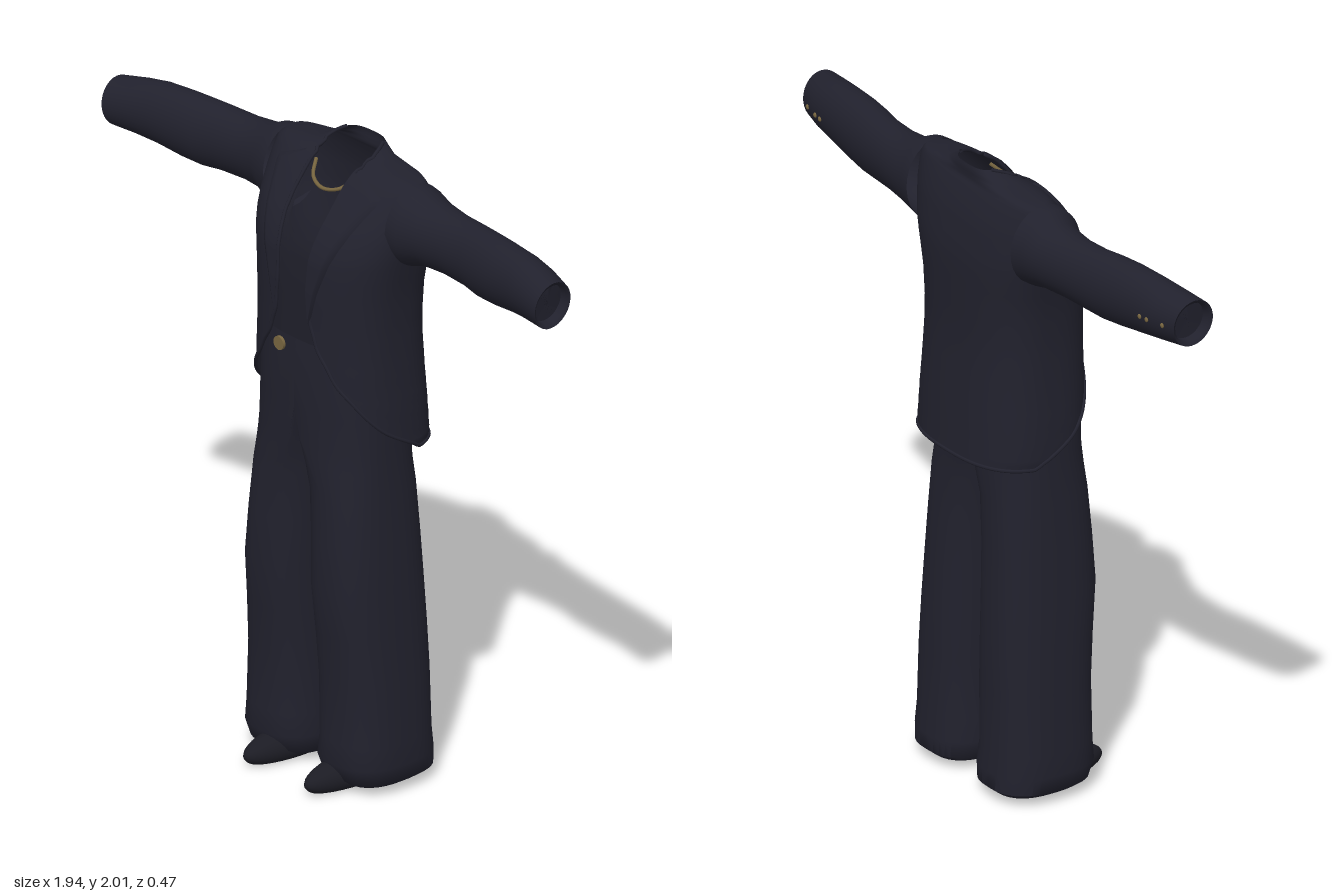
import * as THREE from 'three';
import { toCreasedNormals } from 'three/addons/utils/BufferGeometryUtils.js';

const P = 0.75; // squareness of the body cross-sections
const lerp = THREE.MathUtils.lerp;
const pw = (v) => Math.sign(v) * Math.pow(Math.abs(v), P);
const V = (x, y, z) => new THREE.Vector3(x, y, z);

// Interpolates a row table by its first column
function sample(rows, k) {
  let i = 0;
  while (i < rows.length - 2 && k > rows[i + 1][0]) i++;
  const a = rows[i], b = rows[i + 1];
  const t = THREE.MathUtils.clamp((k - a[0]) / (b[0] - a[0]), 0, 1);
  return a.map((v, j) => lerp(v, b[j], t));
}

// Surface through rows of points; closed rows wrap around
function loft(rows, closed = false, crease = 0) {
  const n = rows[0].length, idx = [];
  for (let r = 0; r < rows.length - 1; r++)
    for (let c = 0; c < (closed ? n : n - 1); c++) {
      const d = (c + 1) % n, a = r * n + c, b = r * n + d;
      idx.push(a, a + n, b, b, a + n, b + n);
    }
  const g = new THREE.BufferGeometry().setFromPoints(rows.flat());
  g.setIndex(idx);
  g.computeVertexNormals();
  return crease ? toCreasedNormals(g, crease) : g;
}

// Jacket: y, half width, front z, back z, middle z, opening angle in degrees
const JACKET = [
  [1.09, 0.275, 0.165, -0.23, -0.03, 103],
  [1.12, 0.28, 0.165, -0.228, -0.03, 92],
  [1.22, 0.275, 0.165, -0.222, -0.03, 60],
  [1.32, 0.268, 0.166, -0.215, -0.03, 33],
  [1.42, 0.264, 0.165, -0.208, -0.03, 17],
  [1.5, 0.264, 0.164, -0.206, -0.03, 11],
  [1.6, 0.27, 0.164, -0.208, -0.035, 9],
  [1.7, 0.288, 0.157, -0.21, -0.05, 9],
  [1.75, 0.298, 0.142, -0.207, -0.06, 9.5],
  [1.8, 0.303, 0.118, -0.2, -0.065, 10.5],
  [1.85, 0.306, 0.083, -0.192, -0.07, 11],
  [1.9, 0.306, 0.043, -0.177, -0.075, 11],
  [1.935, 0.3, 0.01, -0.163, -0.08, 11.5],
  [1.95, 0.28, -0.015, -0.155, -0.085, 13],
  [1.965, 0.15, -0.035, -0.155, -0.09, 31],
  [1.985, 0.105, -0.06, -0.157, -0.1, 65],
  [2.0, 0.08, -0.085, -0.155, -0.11, 100],
];
function jacketPoint(y, u) {
  const [, w, zf, zb, cz, open] = sample(JACKET, y);
  const o = THREE.MathUtils.degToRad(open), a = lerp(o, 2 * Math.PI - o, u);
  const c = Math.cos(a);
  return V(w * pw(Math.sin(a)), y, cz + (c > 0 ? zf - cz : cz - zb) * pw(c));
}
function jacketFront(x, y) {
  const [, w, zf, , cz] = sample(JACKET, y);
  const s = Math.pow(Math.min(1, Math.abs(x) / w), 1 / P);
  return cz + (zf - cz) * pw(Math.sqrt(1 - s * s));
}

// Trouser side: y, inner x, outer x, front z, back z, blend from leg to hip
const LEG = [
  [0.045, 0.08, 0.23, 0.07, -0.12, 0],
  [0.02, 0.05, 0.27, 0.105, -0.165, 0],
  [0.04, 0.025, 0.298, 0.13, -0.19, 0],
  [0.09, 0.018, 0.303, 0.148, -0.19, 0],
  [0.16, 0.025, 0.3, 0.142, -0.182, 0],
  [0.35, 0.024, 0.29, 0.143, -0.182, 0],
  [0.5, 0.022, 0.282, 0.155, -0.178, 0],
  [0.65, 0.019, 0.274, 0.17, -0.172, 0],
  [0.8, 0.014, 0.264, 0.163, -0.165, 0],
  [0.95, 0.006, 0.254, 0.156, -0.16, 0.1],
  [1.03, 0, 0.25, 0.154, -0.16, 0.45],
  [1.1, 0, 0.248, 0.155, -0.165, 0.8],
  [1.2, 0, 0.246, 0.158, -0.17, 1],
  [1.32, 0, 0.24, 0.158, -0.17, 1],
  [1.42, 0, 0.235, 0.15, -0.165, 1],
];
function legRing([y, xi, xo, zf, zb, hip], side) {
  const pts = [], cx = (xi + xo) / 2, r = (xo - xi) / 2, cz = (zf + zb) / 2, d = (zf - zb) / 2;
  for (let i = 0; i < 40; i++) {
    const a = (i / 40) * 2 * Math.PI, s = Math.sin(a), c = Math.cos(a);
    const legX = cx + r * pw(s), hipX = s > 0 ? xo * pw(s) : 0;
    pts.push(V(side * lerp(legX, hipX, hip), y, cz + d * pw(c)));
  }
  return pts;
}

// Sleeve: x, bottom y, top y, back z, front z
const SLEEVE = [
  [0.27, 1.69, 1.95, -0.185, 0.04],
  [0.31, 1.695, 1.945, -0.178, 0.035],
  [0.36, 1.71, 1.92, -0.17, 0.012],
  [0.45, 1.714, 1.912, -0.155, 0.002],
  [0.55, 1.71, 1.914, -0.143, 0.004],
  [0.62, 1.705, 1.917, -0.135, 0.018],
  [0.7, 1.71, 1.918, -0.125, 0.028],
  [0.8, 1.722, 1.914, -0.113, 0.036],
  [0.88, 1.73, 1.902, -0.102, 0.05],
  [0.962, 1.735, 1.888, -0.078, 0.062],
  [0.955, 1.747, 1.877, -0.068, 0.052],
  [0.93, 1.75, 1.875, -0.068, 0.048],
  [0.93, 1.811, 1.812, -0.01, -0.009],
];
function sleeveRing([x, yb, yt, zb, zf], side) {
  return Array.from({ length: 28 }, (_, i) => {
    const a = (i / 28) * 2 * Math.PI, s = Math.sin(a);
    return V(side * (x + 0.008 * s), (yb + yt) / 2 + ((yt - yb) / 2) * s, (zb + zf) / 2 + ((zf - zb) / 2) * Math.cos(a));
  });
}

// Lapel: y, outer x
const LAPEL = [[1.5, 0.075], [1.6, 0.102], [1.7, 0.14], [1.83, 0.195], [1.905, 0.23], [1.93, 0.165], [1.945, 0.13]];

export function createModel() {
  const group = new THREE.Group();
  const mat = (name, color) => {
    const m = new THREE.MeshStandardMaterial({ color, side: THREE.DoubleSide });
    m.name = name;
    return m;
  };
  const suit = mat('dark navy cloth', 0x21212d);
  const shirtMat = mat('dark shirt', 0x1f1f2a);
  const leather = mat('black leather', 0x1c1c24);
  const gold = mat('dull gold', 0x786640);
  const add = (name, geo, m) => {
    const mesh = new THREE.Mesh(geo, m);
    mesh.name = name;
    group.add(mesh);
    return mesh;
  };

  // Jacket body, open at the front and neck
  const ys = [];
  JACKET.forEach(([y], i) => { if (i) ys.push((y + JACKET[i - 1][0]) / 2); ys.push(y); });
  add('jacketBody', loft(ys.map((y) => Array.from({ length: 57 }, (_, i) => jacketPoint(y, i / 56)))), suit);

  // Rolled edge round the opening and hem
  const edge = [
    ...ys.slice().reverse().map((y) => jacketPoint(y, 0)),
    ...Array.from({ length: 19 }, (_, i) => jacketPoint(1.09, (i + 1) / 20)),
    ...ys.map((y) => jacketPoint(y, 1)),
  ];
  add('jacketEdge', new THREE.TubeGeometry(new THREE.CatmullRomCurve3(edge), 180, 0.006, 6), suit);

  // Shirt front with a scooped neckline
  const shirtRows = [];
  for (let r = 0; r <= 12; r++) {
    const row = [];
    for (let c = 0; c <= 16; c++) {
      const x = lerp(-0.13, 0.13, c / 16);
      const y = lerp(1.38, 1.735 + 0.17 * Math.min(1, (x / 0.1) ** 4), r / 12);
      row.push(V(x, y, jacketFront(x, y) - 0.022));
    }
    shirtRows.push(row);
  }
  add('shirtFront', loft(shirtRows), shirtMat);

  for (const side of [1, -1]) {
    const label = side > 0 ? 'left' : 'right';
    add(label + 'TrouserLeg', loft(LEG.map((r) => legRing(r, side)), true, 0.9), suit);
    add(label + 'Sleeve', loft(SLEEVE.map((r) => sleeveRing(r, side)), true, 1.2), suit);

    // Lapel lying just over the chest
    const lapelRows = [];
    for (let i = 0; i <= 24; i++) {
      const y = lerp(1.5, 1.945, i / 24), outer = sample(LAPEL, y)[1], inner = jacketPoint(y, 0).x;
      lapelRows.push(Array.from({ length: 9 }, (_, j) => {
        const x = lerp(inner, Math.max(outer, inner), j / 8);
        return V(side * x, y, jacketFront(x, y) + (j === 8 ? 0 : 0.012));
      }));
    }
    add(label + 'Lapel', loft(lapelRows), suit);

    // Shoe with a flat sole, narrower toward the toe
    const shoe = new THREE.SphereGeometry(1, 28, 18);
    const p = shoe.attributes.position;
    for (let i = 0; i < p.count; i++) {
      const z = p.getZ(i);
      p.setXYZ(i, p.getX(i) * (0.064 - 0.01 * z), Math.max(0.008, 0.035 + p.getY(i) * 0.055), 0.06 + z * 0.172);
    }
    shoe.computeVertexNormals();
    add(label + 'Shoe', shoe, leather).position.x = side * 0.135;
    const heel = add(label + 'Heel', new THREE.CylinderGeometry(0.045, 0.043, 0.03, 20), leather);
    heel.position.set(side * 0.135, 0.015, -0.065);

    // Cuff buttons on the back of the sleeve
    for (const x of [0.83, 0.86, 0.92]) {
      const b = add(label + 'CuffButton', new THREE.SphereGeometry(0.008, 10, 8), gold);
      b.position.set(side * x, 1.81, sample(SLEEVE.slice(0, 10), x)[3] - 0.001);
      b.scale.z = 0.5;
    }
  }

  // Waist button
  const button = add('waistButton', new THREE.CylinderGeometry(0.022, 0.022, 0.009, 16), gold);
  button.rotation.x = Math.PI / 2;
  button.position.set(-0.065, 1.385, 0.157);

  // Necklace
  const chain = new THREE.CatmullRomCurve3([
    V(-0.09, 1.925, -0.01), V(-0.06, 1.89, 0.028), V(0, 1.876, 0.045), V(0.06, 1.89, 0.028), V(0.09, 1.925, -0.01),
  ]);
  add('necklace', new THREE.TubeGeometry(chain, 32, 0.006, 6), gold);

  return group;
}
